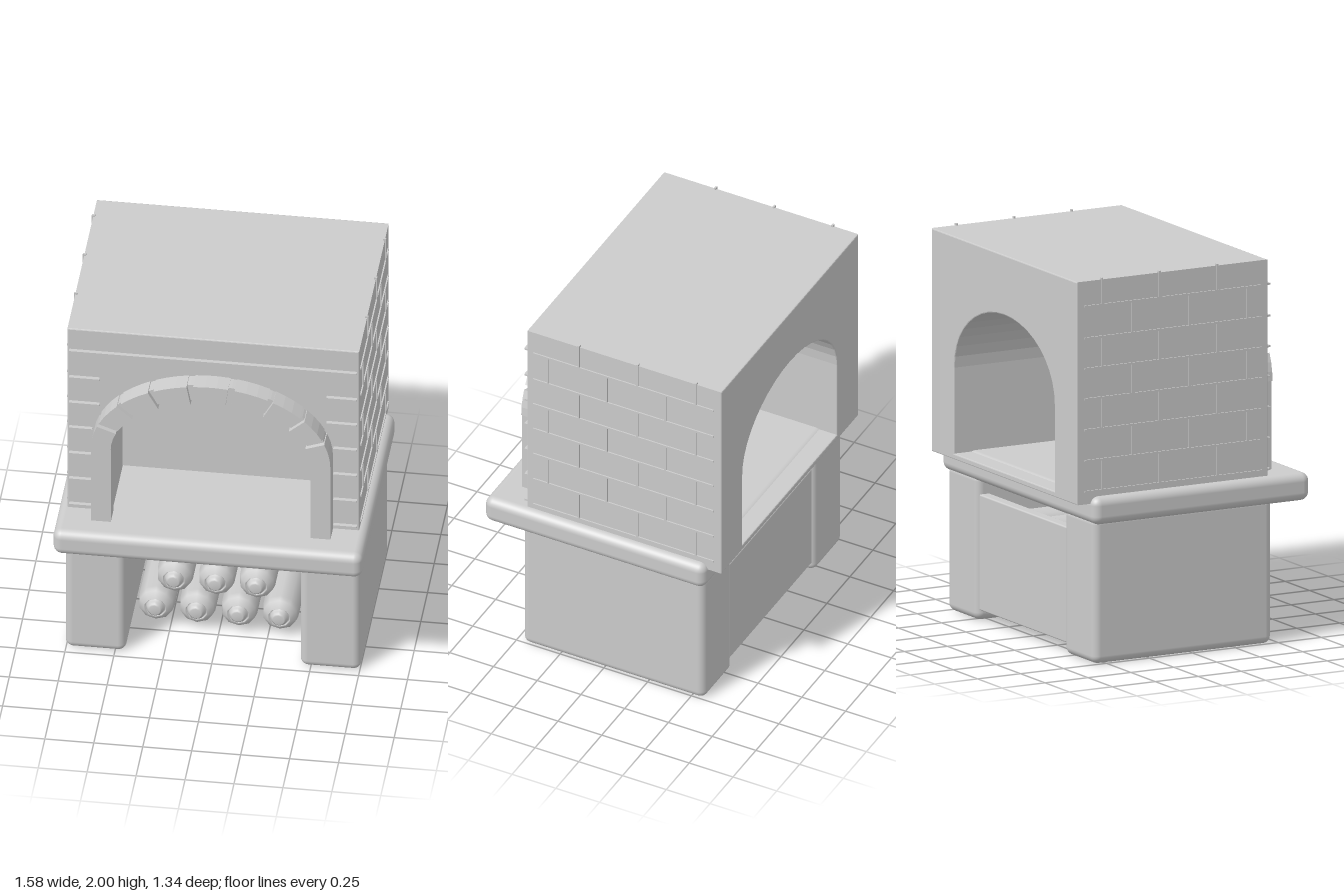
import * as THREE from 'three';
import { RoundedBoxGeometry } from 'three/addons/geometries/RoundedBoxGeometry.js';

export function createModel() {
  const model = new THREE.Group();
  const stone = new THREE.MeshStandardMaterial({ color: 0xcccccc });
  stone.name = 'stone';

  const add = (name, geometry, parent = model) => {
    const mesh = new THREE.Mesh(geometry, stone);
    mesh.name = name;
    parent.add(mesh);
    return mesh;
  };
  const group = (name) => {
    const g = new THREE.Group();
    g.name = name;
    model.add(g);
    return g;
  };
  // Box given by its limits on each axis, optionally rounded
  const box = (name, [x0, x1], [y0, y1], [z0, z1], radius = 0, parent = model) => {
    const size = [x1 - x0, y1 - y0, z1 - z0];
    const geometry = radius
      ? new RoundedBoxGeometry(...size, 4, radius)
      : new THREE.BoxGeometry(...size);
    geometry.translate((x0 + x1) / 2, (y0 + y1) / 2, (z0 + z1) / 2);
    return add(name, geometry, parent);
  };
  // Flat shape pushed from z0 to z1
  const slab = (shape, z0, z1, bevel = 0) => new THREE.ExtrudeGeometry(shape, {
    depth: z1 - z0 - 2 * bevel, curveSegments: 10, bevelEnabled: bevel > 0,
    bevelSize: bevel, bevelThickness: bevel, bevelOffset: -bevel, bevelSegments: 2,
  }).translate(0, 0, z0 + bevel);

  // Base: two legs, back panel and worktop
  for (const s of [-1, 1]) {
    box(s > 0 ? 'leftLeg' : 'rightLeg', s > 0 ? [0.445, 0.755] : [-0.755, -0.445],
      [0, 0.76], [-0.575, 0.465], 0.04);
  }
  box('basePanel', [-0.45, 0.45], [0.055, 0.655], [-0.56, -0.5], 0.008);
  box('worktop', [-0.79, 0.79], [0.725, 0.87], [-0.592, 0.67], 0.045);

  // Oven body with an arched tunnel
  const tunnel = (PathType, bottom, halfWidth) => {
    const path = new PathType();
    path.moveTo(-halfWidth, bottom);
    path.lineTo(halfWidth, bottom);
    path.lineTo(halfWidth, 1.31);
    path.absellipse(0, 1.31, halfWidth, 0.37, 0, Math.PI, false, 0);
    path.lineTo(-halfWidth, bottom);
    return path;
  };
  const wall = new THREE.Shape([
    new THREE.Vector2(-0.745, 0.835), new THREE.Vector2(0.745, 0.835),
    new THREE.Vector2(0.745, 1.99), new THREE.Vector2(-0.745, 1.99),
  ]);
  wall.holes.push(tunnel(THREE.Path, 0.865, 0.515));
  add('ovenBody', slab(wall, -0.67, 0.442, 0.006));
  add('ovenDivider', slab(tunnel(THREE.Shape, 0.88, 0.515), 0.045, 0.065));

  // Arch: pillars, recessed band and nine stones
  const arch = group('arch');
  box('rightPillar', [-0.612, -0.51], [0.85, 1.325], [0.43, 0.54], 0, arch);
  box('leftPillar', [0.51, 0.612], [0.85, 1.325], [0.43, 0.54], 0, arch);
  const onArch = (a, b, degrees) => {
    const t = THREE.MathUtils.degToRad(degrees);
    return new THREE.Vector2(a * Math.cos(t), 1.325 + b * Math.sin(t));
  };
  const sector = (from, to, steps, inner, outer) => {
    const outside = [], inside = [];
    for (let i = 0; i <= steps; i++) {
      const d = from + (to - from) * i / steps;
      outside.push(onArch(...outer, d));
      inside.unshift(onArch(...inner, d));
    }
    return new THREE.Shape([...outside, ...inside]);
  };
  add('archBand', slab(sector(0, 180, 27, [0.515, 0.345], [0.608, 0.438]), 0.43, 0.52), arch);
  for (let i = 0; i < 9; i++) {
    const from = i * 20 + (i > 0 ? 1.6 : 0);
    const to = (i + 1) * 20 - (i < 8 ? 1.6 : 0);
    add('archStone', slab(sector(from, to, 3, [0.51, 0.33], [0.612, 0.442]), 0.43, 0.545), arch);
  }

  // Raised joint lines on the front and both sides
  const joints = group('brickJoints');
  const rows = [0.9, 1.06, 1.22, 1.38, 1.537, 1.695, 1.86, 2.0];
  const half = 0.005;
  rows.slice(0, 7).forEach((y, row) => {
    const ys = [y - half, y + half];
    if (row === 6) {
      box('frontJoint', [-0.735, 0.735], ys, [0.43, 0.463], 0, joints);
    } else {
      const inner = row > 3 ? 0.58 : 0.615;
      box('frontJoint', [-0.735, -inner], ys, [0.43, 0.463], 0, joints);
      box('frontJoint', [inner, 0.735], ys, [0.43, 0.463], 0, joints);
    }
    const uprights = row % 2 ? [0.32, -0.015, -0.35] : [0.145, -0.19, -0.525];
    for (const s of [-1, 1]) {
      const xs = s > 0 ? [0.735, 0.752] : [-0.752, -0.735];
      box('sideJoint', xs, ys, [-0.625, 0.405], 0, joints);
      for (const z of uprights) {
        box('sideUpright', xs, [y, rows[row + 1]], [z - half, z + half], 0, joints);
      }
    }
  });

  // Firewood: ten-sided logs with rounded, ringed ends
  const profile = [
    [0, -0.52], [0.07, -0.52], [0.094, -0.49], [0.094, 0.17], [0.088, 0.205], [0.058, 0.235],
    [0.056, 0.222], [0.046, 0.222], [0.044, 0.24], [0.034, 0.25], [0.028, 0.256], [0, 0.256],
  ].map(([r, z]) => new THREE.Vector2(r, z));
  const logGeometry = new THREE.LatheGeometry(profile, 10).rotateX(Math.PI / 2);
  const logs = group('firewood');
  const stack = [
    [0.125, [-0.325, -0.115, 0.098, 0.308]],
    [0.31, [-0.23, -0.018, 0.19]],
    [0.49, [-0.325, -0.115, 0.098, 0.308]],
  ];
  for (const [y, xs] of stack) {
    for (const x of xs) add('log', logGeometry, logs).position.set(x, y, 0);
  }
  return model;
}
